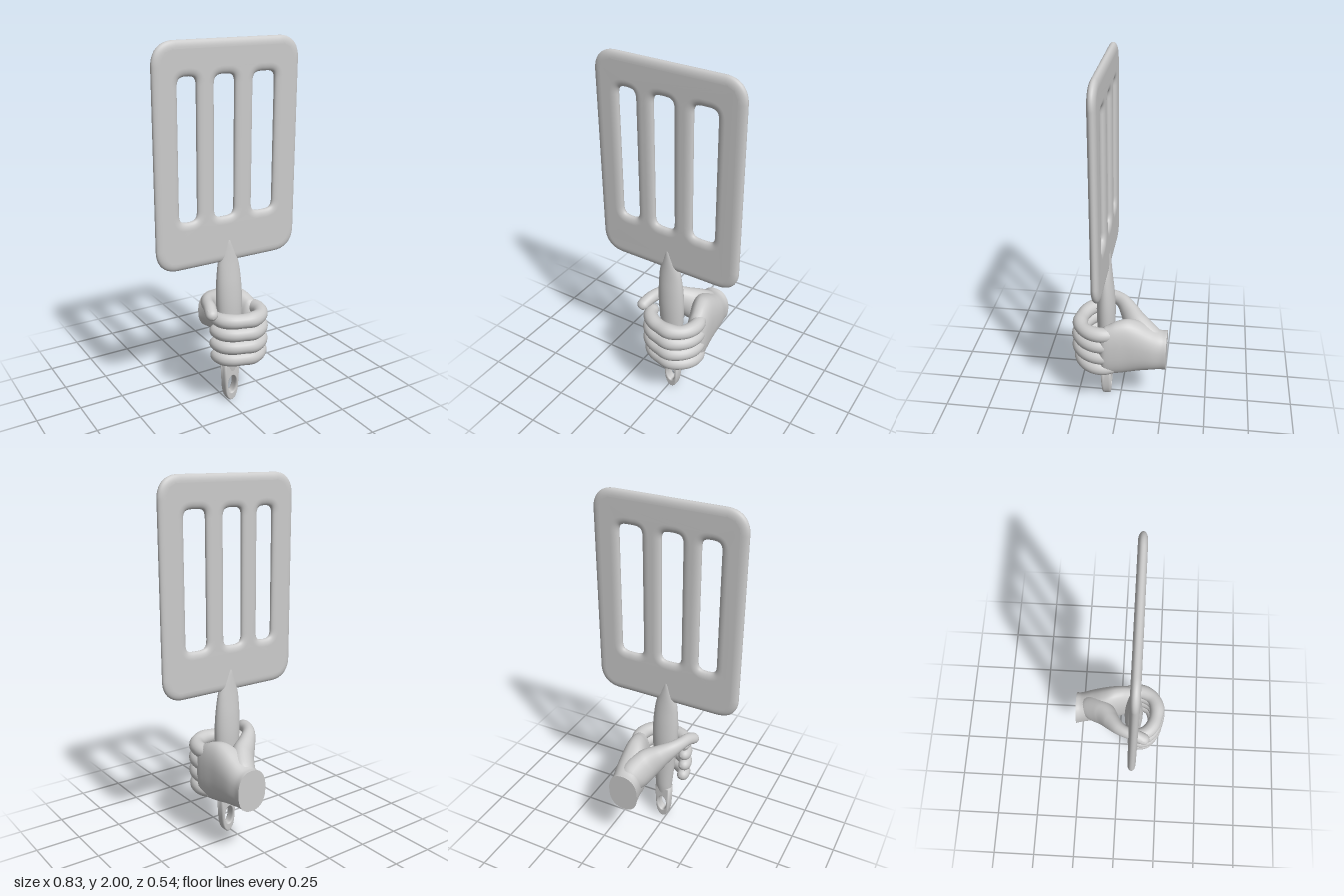
import * as THREE from 'three';
import { mergeVertices } from 'three/addons/utils/BufferGeometryUtils.js';

const material = new THREE.MeshStandardMaterial({ color: 0xcccccc });
const X = new THREE.Vector3(1, 0, 0), Y = new THREE.Vector3(0, 1, 0), Z = new THREE.Vector3(0, 0, 1);

function part(name, geometry) {
  const mesh = new THREE.Mesh(geometry, material);
  mesh.name = name;
  return mesh;
}

// Smooth sweep through sections [x, y, z, radius across, radius along up].
// A fixed axis keeps all sections parallel; a rounded tip closes the end softly.
function sweep(sections, { up = Y, axis = null, steps = 48, sides = 28, tip = 0, power = 1 } = {}) {
  const path = new THREE.CatmullRomCurve3(sections.map(s => new THREE.Vector3(s[0], s[1], s[2])));
  const size = new THREE.CatmullRomCurve3(
    sections.map(s => new THREE.Vector3(s[3], s[4], 0)), false, 'catmullrom', 0.5);
  const pos = [], index = [];
  const bend = a => Math.sign(a) * Math.abs(a) ** power;
  for (let i = 0; i <= steps; i++) {
    const t = i / steps, c = path.getPoint(t), r = size.getPoint(t);
    const along = axis || path.getTangent(t);
    const u = up.clone().cross(along).normalize(), v = along.clone().cross(u);
    const k = tip && t > 1 - tip ? Math.sqrt(Math.max(0, 1 - ((t - 1 + tip) / tip) ** 2)) : 1;
    for (let j = 0; j < sides; j++) {
      const a = j / sides * Math.PI * 2;
      const p = c.clone().addScaledVector(u, bend(Math.cos(a)) * r.x * k)
        .addScaledVector(v, bend(Math.sin(a)) * r.y * k);
      pos.push(p.x, p.y, p.z);
      if (i < steps) {
        const m = i * sides + j, n = i * sides + (j + 1) % sides;
        index.push(m, n, m + sides, n, n + sides, m + sides);
      }
    }
  }
  // Flat caps with their own corners, so the rim stays crisp
  for (const end of [0, 1]) {
    const from = end * steps * sides, base = pos.length / 3;
    for (let k = 0; k < sides * 3; k++) pos.push(pos[from * 3 + k]);
    const c = path.getPoint(end);
    pos.push(c.x, c.y, c.z);
    for (let j = 0; j < sides; j++) {
      const a = base + j, b = base + (j + 1) % sides;
      index.push(base + sides, end ? a : b, end ? b : a);
    }
  }
  const g = new THREE.BufferGeometry();
  g.setAttribute('position', new THREE.Float32BufferAttribute(pos, 3));
  g.setIndex(index);
  g.computeVertexNormals();
  return g;
}

function roundedRect(path, x0, y0, x1, y1, r) {
  path.moveTo(x0 + r, y0);
  path.lineTo(x1 - r, y0).quadraticCurveTo(x1, y0, x1, y0 + r);
  path.lineTo(x1, y1 - r).quadraticCurveTo(x1, y1, x1 - r, y1);
  path.lineTo(x0 + r, y1).quadraticCurveTo(x0, y1, x0, y1 - r);
  path.lineTo(x0, y0 + r).quadraticCurveTo(x0, y0, x0 + r, y0);
  return path;
}

// Extrusion with soft edges, centred on the plane z = cz
function softExtrude(shape, half, bevel, thick, cz) {
  let g = new THREE.ExtrudeGeometry(shape, {
    depth: 2 * (half - thick), bevelSize: bevel, bevelThickness: thick, bevelSegments: 7, curveSegments: 12,
  });
  g.translate(0, 0, cz - half + thick);
  g.deleteAttribute('uv');
  g.deleteAttribute('normal');
  g = mergeVertices(g, 1e-5);
  g.computeVertexNormals();
  return g;
}

function createBlade() {
  const b = 0.04;
  const shape = roundedRect(new THREE.Shape(), -0.415 + b, 0.85 + b, 0.415 - b, 2 - b, 0.08);
  for (const [x0, x1] of [[-0.285, -0.178], [-0.083, 0.038], [0.14, 0.275]]) {
    shape.holes.push(roundedRect(new THREE.Path(), x0 - b, 1.1 - b, x1 + b, 1.83 + b, 0.09));
  }
  return part('blade', softExtrude(shape, 0.022, b, 0.02, 0.083));
}

function createHandle() {
  const group = new THREE.Group();
  group.name = 'handle';
  // Tapered grip ending in a point on the blade
  group.add(part('grip', sweep([
    [0.02, 0.168, 0.083, 0.03, 0.043], [0.02, 0.25, 0.083, 0.041, 0.05],
    [0.016, 0.4, 0.083, 0.047, 0.062], [0.013, 0.58, 0.083, 0.053, 0.075],
    [0.01, 0.7, 0.083, 0.048, 0.075], [0.006, 0.82, 0.083, 0.036, 0.064],
    [0.003, 0.9, 0.083, 0.029, 0.043], [0, 0.96, 0.083, 0.024, 0.02], [0, 1, 0.083, 0.015, 0.002],
  ], { up: X, axis: Y })));
  // Rounded end with its hanging hole
  const b = 0.008, cx = 0.02;
  const shape = new THREE.Shape();
  shape.moveTo(cx - 0.039, 0.22);
  shape.lineTo(cx - 0.034, 0.09);
  shape.bezierCurveTo(cx - 0.03, -0.02, cx + 0.03, -0.02, cx + 0.034, 0.09);
  shape.lineTo(cx + 0.039, 0.22);
  shape.closePath();
  shape.holes.push(new THREE.Path().absellipse(cx, 0.105, 0.029 + b * 0.5, 0.054 + b, 0, Math.PI * 2));
  const ring = softExtrude(shape, 0.033, b, 0.016, 0);
  const p = ring.attributes.position;
  for (let i = 0; i < p.count; i++) {
    p.setZ(i, 0.083 + p.getZ(i) * (0.72 + 0.28 * Math.min(1, p.getY(i) / 0.15)));
  }
  ring.computeVertexNormals();
  group.add(part('hangingEnd', ring));
  return group;
}

function createHand() {
  const group = new THREE.Group();
  group.name = 'hand';
  // Wrist, palm and back of the hand
  group.add(part('palm', sweep([
    [0.1, 0.405, -0.268, 0.088, 0.115], [0.105, 0.408, -0.235, 0.084, 0.115],
    [0.115, 0.42, -0.18, 0.084, 0.13], [0.122, 0.435, -0.11, 0.084, 0.155],
    [0.135, 0.44, -0.05, 0.076, 0.17], [0.15, 0.434, 0.01, 0.068, 0.168],
    [0.161, 0.424, 0.06, 0.06, 0.156], [0.165, 0.42, 0.11, 0.05, 0.142],
  ], { axis: Z, sides: 40, tip: 0.12, power: 0.85 })));

  // Four fingers wrapped round the grip: height at knuckle, height at tip, reach
  const fingers = [
    ['indexFinger', 0.532, 0.547, 0.99], ['middleFinger', 0.458, 0.475, 1.03],
    ['ringFinger', 0.381, 0.4, 1.03], ['littleFinger', 0.306, 0.324, 0.95],
  ];
  const curl = [ // x, z, radius
    [0.165, 0.02, 0.034], [0.182, 0.085, 0.041], [0.174, 0.145, 0.041], [0.14, 0.195, 0.039],
    [0.08, 0.222, 0.043], [0.02, 0.217, 0.039], [-0.035, 0.198, 0.041], [-0.075, 0.165, 0.04],
    [-0.09, 0.125, 0.036], [-0.078, 0.085, 0.033],
  ];
  for (const [name, y0, y1, reach] of fingers) {
    const sections = curl.map(([x, z, r], i) => [
      x < 0 ? x * reach : x, THREE.MathUtils.lerp(y0, y1, i / 9), 0.08 + (z - 0.08) * reach, r, r,
    ]);
    group.add(part(name, sweep(sections, { steps: 70, sides: 20, tip: 0.1 })));
  }

  // Thumb with the fleshy base that joins it to the palm
  group.add(part('thumb', sweep([
    [0.11, 0.42, -0.22, 0.06, 0.08], [0.085, 0.46, -0.155, 0.075, 0.1],
    [0.035, 0.515, -0.09, 0.066, 0.092], [-0.025, 0.56, -0.045, 0.05, 0.066],
    [-0.075, 0.592, 0, 0.038, 0.047], [-0.104, 0.605, 0.05, 0.033, 0.036],
    [-0.118, 0.604, 0.1, 0.034, 0.034], [-0.132, 0.588, 0.145, 0.034, 0.032],
    [-0.138, 0.572, 0.178, 0.03, 0.026],
  ], { steps: 70, tip: 0.1 })));
  const nail = part('thumbnail', new THREE.SphereGeometry(1, 20, 12));
  nail.scale.set(0.022, 0.008, 0.028);
  nail.position.set(-0.137, 0.612, 0.146);
  nail.rotation.set(0.42, -0.3, 0.25);
  group.add(nail);
  return group;
}

export function createModel() {
  const model = new THREE.Group();
  model.name = 'handHoldingSpatula';
  model.add(createBlade(), createHandle(), createHand());
  return model;
}
